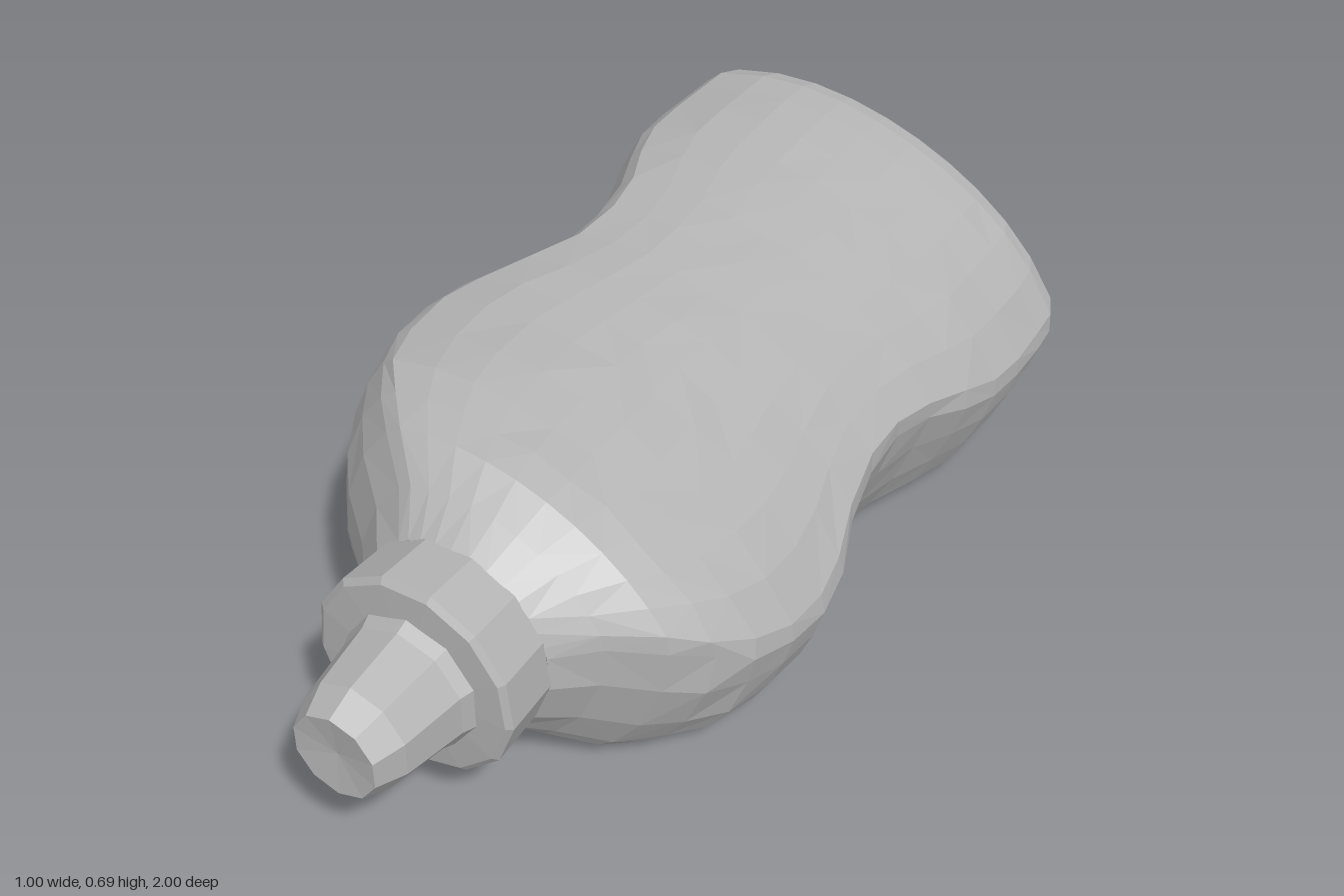
import * as THREE from 'three';

const TILT = -23 * Math.PI / 180, CENTER_Y = 0.346;

function seeded(seed) {
  let s = seed;
  return () => (s = (s * 16807) % 2147483647) / 2147483647 - 0.5;
}

// Lens-shaped outline cut off at half-length L, counter-clockwise.
function lens(L) {
  const h = u => 0.304 - 0.5 * u * u - 0.9 * u ** 4, half = [];
  for (const s of [-0.82, -0.3, 0.3, 0.82]) half.push([L + 0.01 * (1 - s * s), h(L) * s]);
  for (let i = 0; i <= 10; i++) {
    const u = L * 0.965 * (1 - i / 5);
    half.push([u, h(u)]);
  }
  return [...half, ...half.map(([u, v]) => [-u, -v])];
}

// Cross-section: lens softened towards an ellipse, then blended to the round neck.
function section([, L, size, flat, soft, round]) {
  const mix = THREE.MathUtils.lerp;
  return lens(L).map(([u, v]) => {
    const a = Math.atan2(v / 0.3, u / L);
    const x = mix(u, L * 1.05 * Math.cos(a), soft) * size;
    const y = mix(v, 0.304 * Math.sin(a), soft) * size * flat;
    return [mix(x, 0.204 * Math.cos(a), round), mix(y, 0.01 + 0.204 * Math.sin(a), round)];
  });
}

function bodyGeometry() {
  // z, half-length, size, thickness factor, softness, blend to round
  const rings = [
    [-0.962, 0.47, 0.001, 1, 0, 0], [-0.965, 0.47, 0.4, 1, 0, 0], [-0.977, 0.47, 0.7, 1, 0, 0],
    [-0.994, 0.465, 0.87, 1, 0, 0], [-1, 0.462, 0.94, 1, 0, 0], [-0.985, 0.471, 0.98, 0.99, 0, 0],
    [-0.945, 0.485, 1, 0.995, 0, 0], [-0.87, 0.49, 1, 0.995, 0, 0], [-0.76, 0.49, 1, 0.985, 0, 0],
    [-0.65, 0.482, 1, 0.975, 0, 0], [-0.54, 0.452, 1, 0.965, 0.05, 0], [-0.42, 0.41, 1, 0.957, 0.1, 0],
    [-0.3, 0.387, 1, 0.95, 0.12, 0], [-0.18, 0.39, 1, 0.945, 0.12, 0], [-0.06, 0.424, 1, 0.94, 0.12, 0],
    [0.05, 0.468, 1, 0.937, 0.13, 0], [0.14, 0.487, 1, 0.937, 0.16, 0], [0.25, 0.479, 1, 0.937, 0.22, 0],
    [0.35, 0.452, 1, 0.94, 0.32, 0.01], [0.43, 0.412, 1, 0.945, 0.42, 0.04], [0.5, 0.362, 1, 0.95, 0.5, 0.11],
    [0.575, 0.32, 1, 0.94, 0.5, 0.52], [0.65, 0.3, 1, 0.93, 0.5, 1],
  ];
  const rnd = seeded(71), pos = [], index = [];
  let n = 0;
  rings.forEach((r, i) => {
    const pts = section(r);
    n = pts.length;
    const wobble = i > 6 && i < rings.length - 3 ? 1 : 0;
    pts.forEach(([u, v]) => pos.push(
      u + rnd() * 0.005 * wobble, v + rnd() * 0.005 * wobble, r[0] + rnd() * 0.015 * wobble));
  });
  for (let i = 0; i < rings.length - 1; i++) {
    for (let j = 0; j < n; j++) {
      const k = (j + 1) % n;
      const a = i * n + j, b = i * n + k, c = b + n, d = a + n;
      if (rnd() > 0) index.push(a, b, c, a, c, d);
      else index.push(a, b, d, b, c, d);
    }
  }
  const g = new THREE.BufferGeometry();
  g.setAttribute('position', new THREE.Float32BufferAttribute(pos, 3));
  g.setIndex(index);
  g.computeVertexNormals();
  return g;
}

// Turned part whose axis runs along z.
function turned(profile, sides) {
  const g = new THREE.LatheGeometry(profile.map(p => new THREE.Vector2(...p)), sides);
  return g.rotateX(Math.PI / 2);
}

export function createModel() {
  const model = new THREE.Group();
  model.name = 'squeezeBottle';
  const grey = new THREE.MeshStandardMaterial({ color: 0xb4b4b4 });
  grey.name = 'plain grey';
  grey.flatShading = true;

  const add = (name, geometry, x, y) => {
    const mesh = new THREE.Mesh(geometry, grey);
    mesh.name = name;
    mesh.position.set(x, y, 0);
    model.add(mesh);
    return mesh;
  };

  // Waisted body with a hollowed base and sloping shoulder
  add('body', bodyGeometry(), 0, CENTER_Y).rotation.z = TILT;

  // Screw collar
  add('collar', turned([[0.15, 0.644], [0.206, 0.648], [0.212, 0.77], [0.2, 0.78], [0.12, 0.785]], 13), 0.004, 0.358);

  // Tapered pouring nozzle
  add('nozzle', turned([[0.145, 0.775], [0.132, 0.81], [0.112, 0.94], [0.088, 1], [0, 0.99]], 10), 0.008, 0.357);

  return model;
}
